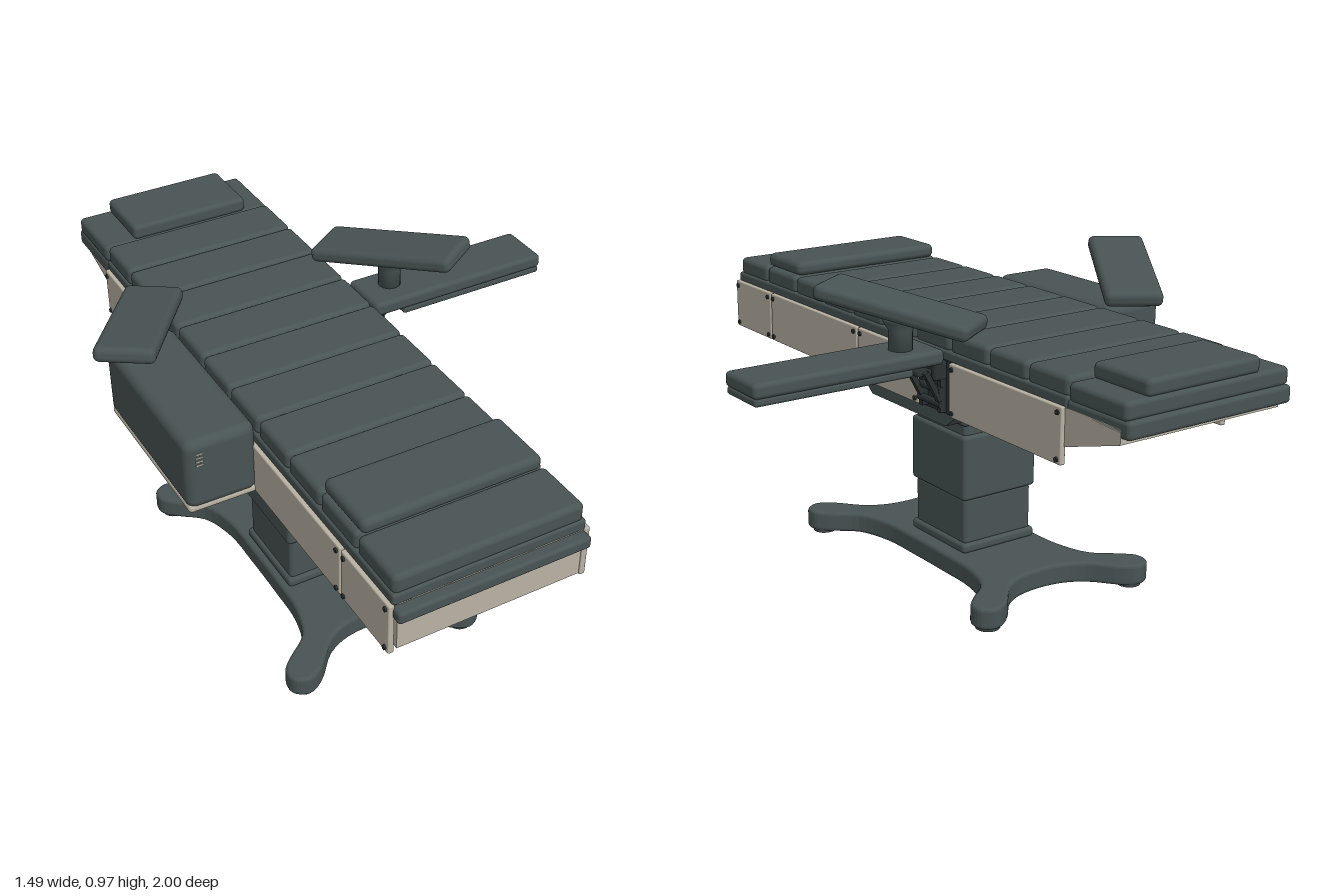
import * as THREE from 'three';
import { RoundedBoxGeometry } from 'three/addons/geometries/RoundedBoxGeometry.js';

const CX = -0.15; // the table's own centre line

export function createModel() {
  const model = new THREE.Group();
  model.name = 'operatingTable';

  const mat = (name, color) => {
    const m = new THREE.MeshStandardMaterial({ color });
    m.name = name;
    return m;
  };
  const slate = mat('slate', 0x485353);
  const cream = mat('cream', 0xb9b2a3);
  const black = mat('black', 0x2a3131);
  const cyan = mat('cyan', 0x6fcaca);

  const add = (name, geometry, material, x = 0, y = 0, z = 0) => {
    const mesh = new THREE.Mesh(geometry, material);
    mesh.name = name;
    mesh.position.set(x, y, z);
    model.add(mesh);
    return mesh;
  };
  // Box given by its limits, rounded when r > 0
  const box = (name, material, [x0, x1], [y0, y1], [z0, z1], r = 0) => {
    const s = [x1 - x0, y1 - y0, z1 - z0];
    const g = r ? new RoundedBoxGeometry(...s, 3, r) : new THREE.BoxGeometry(...s);
    return add(name, g, material, (x0 + x1) / 2, (y0 + y1) / 2, (z0 + z1) / 2);
  };
  // Side profile of [z, y] points, extruded across x
  const profile = (name, material, points, x0, x1) => {
    const shape = new THREE.Shape(points.map(p => new THREE.Vector2(...p)));
    const g = new THREE.ExtrudeGeometry(shape, { depth: x1 - x0, bevelEnabled: false });
    g.rotateY(-Math.PI / 2);
    return add(name, g, material, x1);
  };

  // Base: four-legged plate made from one mirrored quarter outline
  const quarter = [[0.165, 0.08], [0.17, 0.22], [0.205, 0.33], [0.275, 0.39], [0.312, 0.43],
    [0.31, 0.475], [0.27, 0.498], [0.22, 0.475], [0.14, 0.39], [0.06, 0.355]];
  const flip = (sx, sz) => quarter.map(([x, z]) => new THREE.Vector3(x * sx, z * sz, 0));
  const loop = [...flip(1, 1), ...flip(-1, 1).reverse(), ...flip(-1, -1), ...flip(1, -1).reverse()];
  const outline = new THREE.CatmullRomCurve3(loop, true).getPoints(160).slice(0, -1);
  const baseGeo = new THREE.ExtrudeGeometry(
    new THREE.Shape(outline.map(p => new THREE.Vector2(p.x, p.y))),
    { depth: 0.044, bevelSize: 0.011, bevelThickness: 0.011, bevelOffset: -0.011, bevelSegments: 3 });
  baseGeo.rotateX(-Math.PI / 2);
  add('base', baseGeo, slate, CX, 0.022, 0.02);
  for (const sx of [-1, 1]) for (const sz of [-1, 1]) {
    add('foot', new THREE.CylinderGeometry(0.042, 0.036, 0.02, 24), slate, CX + sx * 0.265, 0.01, 0.02 + sz * 0.447);
  }

  // Telescopic column, stacked from the floor up
  const column = [
    ['columnCollar', 0.27, 0.28, 0.075, 0.107],
    ['columnLower', 0.25, 0.26, 0.1, 0.25],
    ['columnSleeve', 0.27, 0.28, 0.245, 0.45],
    ['columnNeck', 0.25, 0.255, 0.44, 0.49],
    ['columnHead', 0.27, 0.275, 0.48, 0.53],
  ];
  for (const [name, w, d, y0, y1] of column) {
    box(name, slate, [-0.162 - w / 2, -0.162 + w / 2], [y0, y1], [0.025 - d / 2, 0.025 + d / 2], 0.012);
  }
  profile('saddle', slate, [[-0.17, 0.522], [0.22, 0.522], [0.285, 0.575], [0.285, 0.598],
    [-0.24, 0.598], [-0.24, 0.575]], -0.39, 0.08);

  // Table frame with its sloping underside at the head
  profile('frame', cream, [[0.965, 0.592], [0.965, 0.742], [-0.97, 0.742], [-0.97, 0.7],
    [-0.62, 0.595]], -0.415, 0.13);

  // Side panels, bolts and the dark recess, mirrored
  const panels = [[0.738, 0.97], [0.208, 0.732], [-0.12, 0.202], [-0.76, -0.27]];
  const boltGeo = new THREE.CylinderGeometry(0.007, 0.007, 0.006, 12).rotateZ(Math.PI / 2);
  for (const s of [-1, 1]) {
    const span = (a, b) => [CX + s * a, CX + s * b].sort((p, q) => p - q);
    for (const [z0, z1] of panels) {
      box('sidePanel', cream, span(0.275, 0.292), [0.588, 0.744], [z0, z1], 0.004);
      for (const z of [z0 + 0.015, z1 - 0.015]) for (const y of [0.602, 0.728]) {
        add('bolt', boltGeo, black, CX + s * 0.294, y, z);
      }
    }
    box('recess', black, span(0.272, 0.284), [0.59, 0.745], [-0.27, -0.12]);
  }
  box('display', cyan, [0.14, 0.146], [0.657, 0.7], [0, 0.135]);

  // Mattress: long lower layer and a row of cushions
  box('mattressBase', slate, [-0.43, 0.13], [0.738, 0.772], [-0.765, 0.968], 0.008);
  const seams = [0.965, 0.785, 0.6, 0.43, 0.26, 0.09, -0.08, -0.25, -0.425, -0.595, -0.765];
  for (let i = 0; i + 1 < seams.length; i++) {
    box('cushion', slate, [-0.425, 0.125], [0.763, 0.822], [seams[i + 1] + 0.002, seams[i] - 0.002], 0.016);
  }
  box('footRail', slate, [-0.43, 0.13], [0.7, 0.737], [0.95, 0.998], 0.01);
  box('footPillow', slate, [-0.415, 0.11], [0.82, 0.864], [0.6, 0.8], 0.018);

  // Head section
  box('headPlate', slate, [-0.43, 0.13], [0.715, 0.765], [-1, -0.762], 0.012);
  box('headCushion', slate, [-0.43, 0.13], [0.76, 0.812], [-0.988, -0.768], 0.014);
  box('headPad', slate, [-0.33, 0.055], [0.808, 0.855], [-0.982, -0.772], 0.014);

  // Left arm board and its angled bracket
  box('armBoardPlate', slate, [0.255, 0.745], [0.722, 0.745], [-0.268, -0.112], 0.008);
  box('armBoardPad', slate, [0.155, 0.748], [0.742, 0.786], [-0.273, -0.107], 0.014);
  box('bracketClamp', black, [0.13, 0.175], [0.69, 0.745], [-0.25, -0.14], 0.008);
  box('bracketShelf', black, [0.14, 0.22], [0.705, 0.722], [-0.235, -0.155], 0.006);
  for (const z of [-0.24, -0.15]) {
    profile('bracketArm', black, [[z - 0.008, 0.595], [z + 0.008, 0.595], [z + 0.008, 0.72],
      [z - 0.008, 0.72]], 0.13, 0.153);
    const strut = box('bracketStrut', black, [-0.008, 0.008], [-0.065, 0.065], [-0.008, 0.008]);
    strut.position.set(0.168, 0.662, z);
    strut.rotation.z = -0.5;
  }
  for (const y of [0.62, 0.66]) {
    add('bracketRod', new THREE.CylinderGeometry(0.011, 0.011, 0.11, 16).rotateX(Math.PI / 2), black, 0.15, y, -0.195);
  }

  // Right equipment case with tray and vents
  box('sideCase', slate, [-0.64, -0.432], [0.597, 0.82], [-0.27, 0.27], 0.028);
  box('caseTray', cream, [-0.638, -0.43], [0.586, 0.612], [-0.266, 0.266], 0.012);
  for (let i = 0; i < 4; i++) {
    const y = 0.745 + i * 0.012;
    box('vent', cream, [-0.612, -0.592], [y, y + 0.004], [0.268, 0.272]);
  }

  // Tilted arm rests on posts, mirrored
  const postProfile = [[0, 0], [0.034, 0], [0.034, 0.06], [0.05, 0.085], [0.05, 0.1], [0, 0.1]]
    .map(p => new THREE.Vector2(...p));
  for (const s of [-1, 1]) {
    const x = CX + s * 0.404;
    add('armRestPost', new THREE.LatheGeometry(postProfile, 28), slate, x, s > 0 ? 0.783 : 0.795, -0.2);
    const pad = add('armRest', new RoundedBoxGeometry(0.17, 0.046, 0.46, 3, 0.018), slate, x, 0.905, -0.2);
    pad.rotation.set(-0.18, s * 0.585, 0, 'YXZ');
  }

  return model;
}
